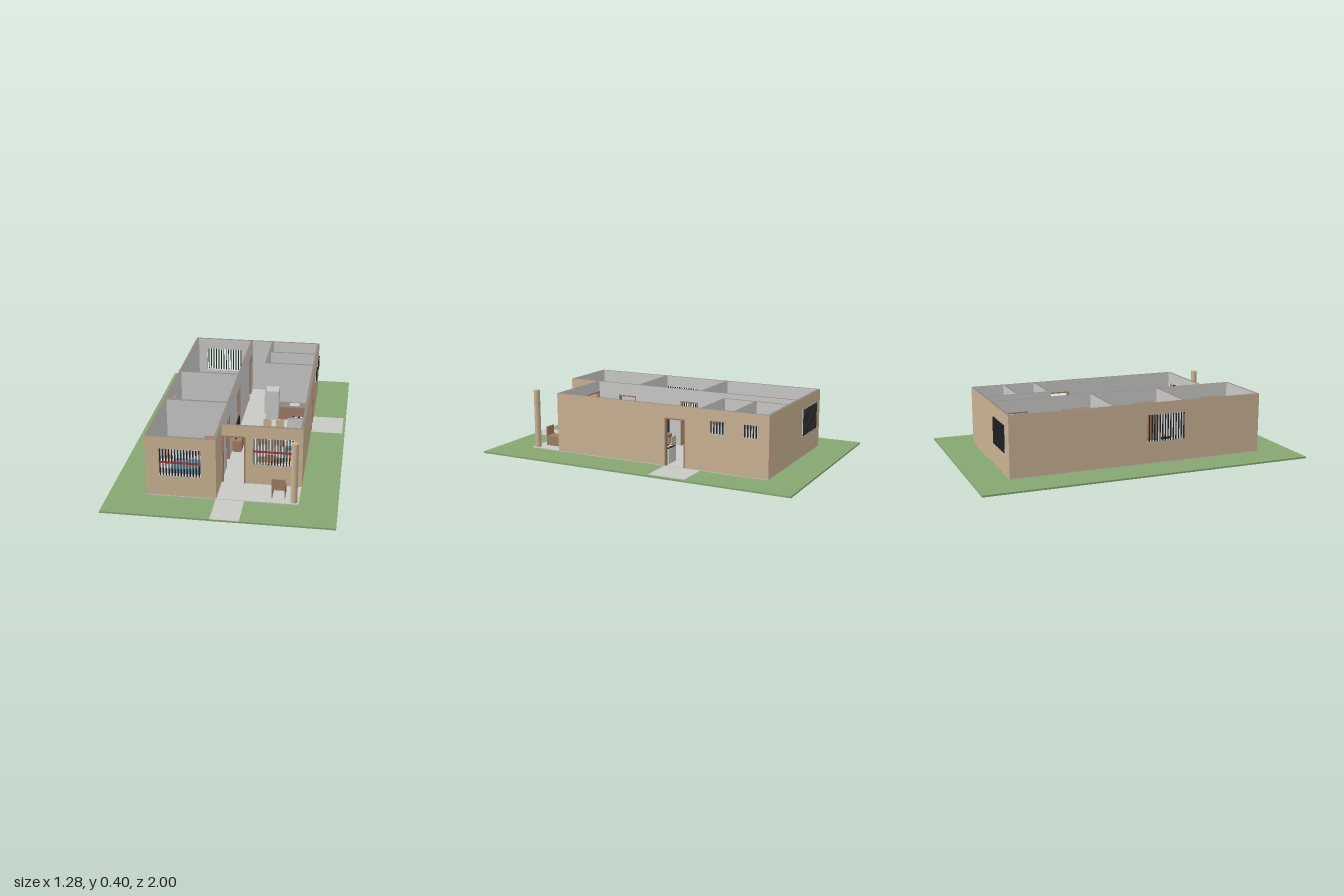
import * as THREE from 'three';

const mat = (name, color) => {
  const m = new THREE.MeshStandardMaterial({ color });
  m.name = name;
  return m;
};

export function createModel() {
  const lawn = mat('lawn green', 0x86a671), plaster = mat('plaster white', 0xc8c8c5);
  const tan = mat('wall tan', 0xc8b192), cap = mat('wall cap grey', 0x8f8580);
  const wood = mat('wood brown', 0xa07d64), blue = mat('fabric blue', 0x7098ae);
  const black = mat('iron black', 0x222426), red = mat('rail red', 0xa83232);

  const house = new THREE.Group();
  house.name = 'house';
  const F = 0.04, H = 0.4, T = 0.016;

  // Box given by its min and max corners
  function box(name, m, x0, x1, y0, y1, z0, z1, parent = house) {
    const mesh = new THREE.Mesh(new THREE.BoxGeometry(x1 - x0, y1 - y0, z1 - z0), m);
    mesh.position.set((x0 + x1) / 2, (y0 + y1) / 2, (z0 + z1) / 2);
    mesh.name = name;
    parent.add(mesh);
    return mesh;
  }
  function group(name) {
    const g = new THREE.Group();
    g.name = name;
    house.add(g);
    return g;
  }
  function cyl(name, m, r, h, x, y, z, parent = house, sides = 16) {
    const mesh = new THREE.Mesh(new THREE.CylinderGeometry(r, r, h, sides), m);
    mesh.position.set(x, y + h / 2, z);
    mesh.name = name;
    parent.add(mesh);
    return mesh;
  }
  function ball(name, m, rx, ry, rz, x, y, z, parent) {
    const mesh = new THREE.Mesh(new THREE.SphereGeometry(1, 16, 10), m);
    mesh.scale.set(rx, ry, rz);
    mesh.position.set(x, y, z);
    mesh.name = name;
    parent.add(mesh);
  }
  // Box along a wall: axis 'x' or 'z', c across the wall, a..b along it
  const along = (axis, name, m, c0, c1, a, b, y0, y1, g) => axis === 'x'
    ? box(name, m, a, b, y0, y1, c0, c1, g) : box(name, m, c0, c1, y0, y1, a, b, g);

  // Wall split around openings [a, b, y0, y1]; pos and neg are its two side materials
  function wall(name, axis, c, a, b, openings = [], pos = plaster, neg = plaster) {
    const g = group(name);
    const end = pos === tan || neg === tan ? tan : plaster;
    const piece = (p, q, y0, y1) => {
      const top = y1 === H ? cap : end;
      const m = axis === 'x' ? [end, end, top, end, pos, neg] : [pos, neg, top, end, end, end];
      along(axis, 'wallPiece', m, c - T / 2, c + T / 2, p, q, y0, y1, g);
    };
    let s = a;
    for (const [p, q, y0, y1] of openings) {
      piece(s, p, F, H);
      if (y0 > F) piece(p, q, F, y0);
      piece(p, q, y1, H);
      s = q;
    }
    piece(s, b, F, H);
  }
  // Wooden frame lining a doorway
  function doorFrame(name, axis, c, a, b, y1) {
    const g = group(name), w = 0.008, d = T / 2 + 0.003;
    along(axis, 'leftJamb', wood, c - d, c + d, a, a + w, F, y1, g);
    along(axis, 'rightJamb', wood, c - d, c + d, b - w, b, F, y1, g);
    along(axis, 'lintel', wood, c - d, c + d, a, b, y1 - w, y1, g);
  }
  // Window bars outside the wall, with a sill and an optional red rail
  function windowBars(name, axis, c, out, a, b, y0, y1, n, rail) {
    const g = group(name), o = c + out * (T / 2 + 0.006), r = 0.0028;
    for (let i = 0; i < n; i++) {
      const t = a + (b - a) * (i + 0.5) / n;
      along(axis, 'bar', black, o - r, o + r, t - r, t + r, y0, y1, g);
    }
    along(axis, 'sill', plaster, c - T / 2 - 0.003, c + T / 2 + 0.003, a - 0.005, b + 0.005, y0 - 0.005, y0 + 0.001, g);
    if (rail) along(axis, 'rail', red, o - 0.005, o + 0.005, a + 0.003, b - 0.003, 0.246, 0.254, g);
  }

  // Ground, slab and paths
  box('lawnFrontPart', lawn, -0.64, 0.64, 0.025, 0.035, -1, 1);
  box('foundationSlab', plaster, -0.425, 0.425, 0, F, -0.787, 0.787);
  box('frontPath', plaster, -0.035, 0.125, 0.03, 0.037, 0.785, 1);
  box('sidePath', plaster, 0.425, 0.625, 0.03, 0.037, -0.375, -0.145);

  // Outer walls
  const L = -0.419, R = 0.419, B = -0.782, FL = 0.778, FR = 0.582, M = -0.04;
  wall('backWall', 'x', B, -0.427, 0.427, [[-0.355, -0.11, 0.17, 0.33]], plaster, tan);
  wall('leftWall', 'z', L, B + T / 2, FL - T / 2, [[0.045, 0.285, 0.17, 0.33]], plaster, tan);
  wall('rightWall', 'z', R, B + T / 2, FR - T / 2,
    [[-0.725, -0.64, 0.265, 0.335], [-0.525, -0.435, 0.265, 0.335], [-0.28, -0.148, F, 0.325]], tan, plaster);
  wall('frontLeftWall', 'x', FL, -0.427, M + T / 2, [[-0.35, -0.115, 0.17, 0.33]], tan, plaster);
  wall('frontRightWall', 'x', FR, M + T / 2, 0.427,
    [[-0.031, 0.105, F, 0.335], [0.145, 0.38, 0.17, 0.33]], tan, plaster);
  wall('porchSideWall', 'z', M, FR, FL - T / 2, [], tan, plaster);
  windowBars('backWindow', 'x', B, -1, -0.355, -0.11, 0.17, 0.33, 14);
  windowBars('leftWindow', 'z', L, -1, 0.045, 0.285, 0.17, 0.33, 14);
  windowBars('frontLeftWindow', 'x', FL, 1, -0.35, -0.115, 0.17, 0.33, 14, true);
  windowBars('frontRightWindow', 'x', FR, 1, 0.145, 0.38, 0.17, 0.33, 14, true);
  windowBars('bathWindow', 'z', R, 1, -0.725, -0.64, 0.265, 0.335, 5);
  windowBars('bathWindow', 'z', R, 1, -0.525, -0.435, 0.265, 0.335, 5);
  doorFrame('frontDoorFrame', 'x', FR, -0.031, 0.105, 0.335);
  doorFrame('kitchenDoorFrame', 'z', R, -0.28, -0.148, 0.325);

  // Inner walls and doorways
  const roomDoors = [[-0.69, -0.565, F, 0.325], [-0.14, -0.02, F, 0.325], [0.3, 0.425, F, 0.325]];
  const bathDoors = [[-0.7, -0.6, F, 0.325], [-0.53, -0.42, F, 0.325]];
  wall('corridorWall', 'z', M, B + T / 2, FR, roomDoors);
  wall('bathSideWall', 'z', 0.108, B + T / 2, -0.372, bathDoors);
  roomDoors.forEach(([a, b, , y]) => doorFrame('bedroomDoorFrame', 'z', M, a, b, y));
  bathDoors.forEach(([a, b, , y]) => doorFrame('bathDoorFrame', 'z', 0.108, a, b, y));
  for (const z of [-0.16, 0.282]) wall('bedroomDivider', 'x', z, L + T / 2, M - T / 2);
  for (const z of [-0.58, -0.38]) wall('bathDivider', 'x', z, 0.116, R - T / 2);
  box('kitchenHalfWall', [plaster, plaster, cap, plaster, plaster, plaster], 0.28, 0.411, F, 0.16, -0.074, -0.06);

  // Porch column and chair
  cyl('porchColumn', tan, 0.019, H - F, 0.397, F, 0.762, house, 24);
  const seat = group('porchChair');
  box('seat', wood, 0.27, 0.345, 0.09, 0.1, 0.648, 0.735, seat);
  box('backrest', wood, 0.27, 0.345, 0.095, 0.157, 0.73, 0.737, seat);
  for (const x of [0.27, 0.341]) box('sidePanel', wood, x, x + 0.004, F, 0.098, 0.648, 0.735, seat);

  // Bedrooms
  const beds = [[-0.57, -0.385, [-0.525, -0.435]], [-0.135, -0.012, [-0.075]], [0.475, 0.597, [0.535]]];
  for (const [z0, z1, pillows] of beds) {
    const g = group('bed');
    box('mattress', plaster, -0.41, -0.17, F, 0.105, z0, z1, g);
    box('blanket', blue, -0.33, -0.167, F + 0.02, 0.11, z0 - 0.003, z1 + 0.003, g);
    for (const z of pillows) ball('pillow', plaster, 0.021, 0.01, 0.032, -0.378, 0.11, z, g);
  }
  for (const z of [-0.61, -0.345, 0.43]) {
    const g = group('nightstand');
    box('cabinet', wood, -0.41, -0.358, F, 0.095, z - 0.026, z + 0.026, g);
    cyl('lamp', wood, 0.012, 0.025, -0.384, 0.095, z, g);
  }
  for (const [a, b] of [[-0.35, -0.182], [0.11, 0.252], [0.577, 0.73]])
    box('wardrobe', wood, -0.128, -0.053, F, 0.32, a, b);
  const desk = group('desk');
  box('deskTop', wood, -0.41, -0.34, 0.112, 0.122, 0.115, 0.24, desk);
  for (const z of [0.117, 0.23]) box('deskSide', wood, -0.408, -0.342, F, 0.112, z, z + 0.008, desk);
  box('monitor', black, -0.394, -0.388, 0.13, 0.18, 0.148, 0.21, desk);
  box('monitorStand', black, -0.396, -0.386, 0.122, 0.132, 0.172, 0.186, desk);

  // Four-legged chair and table
  function legged(name, m, x0, x1, z0, z1, y, t) {
    const g = group(name);
    box('top', m, x0, x1, y - t, y, z0, z1, g);
    for (const x of [x0, x1 - 0.007]) for (const z of [z0, z1 - 0.007])
      box('leg', m, x, x + 0.007, F, y - t, z, z + 0.007, g);
    return g;
  }
  legged('deskChair', blue, -0.33, -0.28, 0.155, 0.207, 0.088, 0.01);

  // Living and dining room
  box('mediaCabinet', wood, -0.027, 0.027, F, 0.112, 0.04, 0.21);
  box('screen', black, -0.012, -0.004, 0.12, 0.212, 0.05, 0.202);
  box('screenStand', black, -0.016, 0, 0.112, 0.122, 0.1, 0.15);
  legged('diningTable', wood, 0.115, 0.272, -0.002, 0.103, 0.125, 0.01);
  for (const x of [0.155, 0.235]) for (const s of [-1, 1]) {
    const z = 0.05 + s * 0.092;
    const g = legged('diningChair', tan, x - 0.025, x + 0.025, z - 0.026, z + 0.026, 0.088, 0.008);
    const e = z + s * 0.023;
    box('backrest', tan, x - 0.025, x + 0.025, 0.088, 0.145, e - 0.003, e + 0.003, g);
  }
  box('rug', wood, 0.135, 0.3, F, 0.043, 0.255, 0.457);
  legged('coffeeTable', wood, 0.187, 0.252, 0.3, 0.42, 0.08, 0.008);
  const sofa = group('sofa');
  box('base', blue, 0.297, 0.41, F, 0.085, 0.235, 0.482, sofa);
  box('backrest', blue, 0.38, 0.41, 0.085, 0.15, 0.235, 0.482, sofa);
  for (const z of [0.235, 0.46]) box('armrest', blue, 0.297, 0.38, 0.085, 0.115, z, z + 0.022, sofa);
  for (const z of [0.29, 0.358, 0.425]) ball('cushion', tan, 0.034, 0.014, 0.032, 0.343, 0.097, z, sofa);

  // Kitchen
  box('fridge', plaster, 0.118, 0.2, F, 0.24, -0.37, -0.285);
  const counter = group('kitchenCounter');
  box('cabinet', wood, 0.203, 0.41, F, 0.125, -0.371, -0.295, counter);
  box('worktop', cap, 0.203, 0.411, 0.125, 0.133, -0.372, -0.29, counter);
  box('sink', plaster, 0.27, 0.335, 0.13, 0.135, -0.357, -0.31, counter);
  const stove = group('stove');
  box('body', plaster, 0.303, 0.39, F, 0.13, -0.157, -0.08, stove);
  box('hob', black, 0.305, 0.388, 0.13, 0.134, -0.155, -0.082, stove);
  for (const x of [0.328, 0.365]) for (const z of [-0.136, -0.102])
    box('burner', plaster, x - 0.011, x + 0.011, 0.134, 0.136, z - 0.011, z + 0.011, stove);

  // Two bathrooms with the same fittings
  for (const z of [-0.774, -0.572]) {
    const g = group('bathroomFittings');
    box('cistern', plaster, 0.212, 0.257, F, 0.125, z, z + 0.02, g);
    box('toiletBowl', plaster, 0.212, 0.254, F, 0.09, z + 0.02, z + 0.066, g);
    box('basin', plaster, 0.118, 0.172, 0.1, 0.13, z + 0.132, z + 0.184, g);
    box('basinStand', plaster, 0.135, 0.155, F, 0.1, z + 0.148, z + 0.168, g);
    box('showerScreen', plaster, 0.293, 0.297, F, 0.28, z + 0.09, z + 0.184, g);
    box('showerPipe', plaster, 0.385, 0.411, 0.3, 0.305, z + 0.087, z + 0.092, g);
    cyl('showerHead', plaster, 0.008, 0.008, 0.387, 0.294, z + 0.09, g);
  }
  return house;
}
